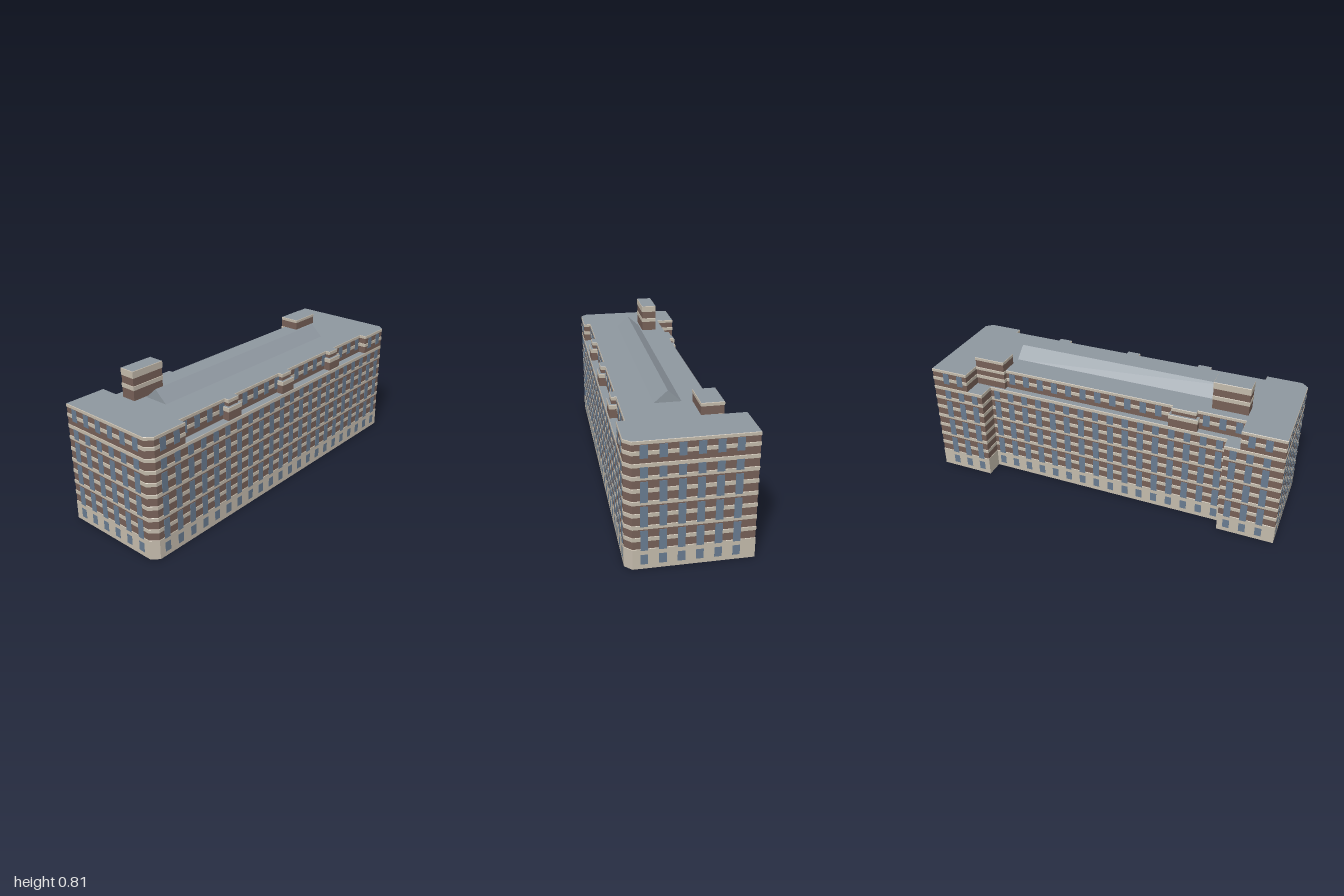
import * as THREE from 'three';
import { mergeGeometries } from 'three/addons/utils/BufferGeometryUtils.js';

const mat = (name, color, side = THREE.FrontSide) => {
  const m = new THREE.MeshStandardMaterial({ color, side });
  m.name = name;
  return m;
};

// Moves a footprint of [x, z] corners outwards by d, with mitred corners
function offset(pts, d) {
  const n = pts.length;
  const normal = (a, b) => {
    const dx = b[0] - a[0], dz = b[1] - a[1], l = Math.hypot(dx, dz);
    return [dz / l, -dx / l];
  };
  return pts.map((p, i) => {
    const a = normal(pts[(i + n - 1) % n], p), b = normal(p, pts[(i + 1) % n]);
    const k = d / (1 + a[0] * b[0] + a[1] * b[1]);
    return [p[0] + k * (a[0] + b[0]), p[1] + k * (a[1] + b[1])];
  });
}

// Sweeps a profile of [y, outward offset] round a footprint
function sweep(pts, profile) {
  const pos = [];
  const rings = profile.map(([y, d]) => offset(pts, d).map(([x, z]) => [x, y, z]));
  for (let r = 0; r < rings.length - 1; r++) {
    for (let i = 0; i < pts.length; i++) {
      const j = (i + 1) % pts.length;
      const a = rings[r][i], b = rings[r][j], c = rings[r + 1][j], d = rings[r + 1][i];
      pos.push(...a, ...d, ...b, ...b, ...d, ...c);
    }
  }
  const g = new THREE.BufferGeometry();
  g.setAttribute('position', new THREE.Float32BufferAttribute(pos, 3));
  g.computeVertexNormals();
  return g;
}

const rect = (x0, x1, z0, z1) => [[x0, z0], [x1, z0], [x1, z1], [x0, z1]];

export function createModel() {
  const model = new THREE.Group();
  model.name = 'building';
  const brick = mat('brick', 0x766057, THREE.DoubleSide);
  const stone = mat('stone', 0xc3baab, THREE.DoubleSide);
  const glass = mat('glass', 0x687b90);
  const slate = mat('slate', 0x8e979f, THREE.DoubleSide);
  const IN = -0.002; // brick sits just behind the stone bands

  const add = (parent, name, geometry, material) => {
    const m = new THREE.Mesh(geometry, material);
    m.name = name;
    parent.add(m);
  };

  // Brick walls with stone bands and a flat roof
  function block(name, pts, y0, y1, bands) {
    const g = new THREE.Group();
    g.name = name;
    model.add(g);
    add(g, 'brickWalls', sweep(pts, [[y0, IN], [y1 - 0.001, IN]]), brick);
    const rings = bands.map(([a, b]) =>
      sweep(pts, [[a, IN], [a, 0], [b - 0.002, 0], [b, IN]]));
    add(g, 'stoneBands', mergeGeometries(rings), stone);
    const shape = new THREE.Shape(offset(pts, IN).map(([x, z]) => new THREE.Vector2(x, -z)));
    add(g, 'flatRoof', new THREE.ShapeGeometry(shape).rotateX(-Math.PI / 2).translate(0, y1, 0), slate);
    return g;
  }

  // Lower floors
  const lower = [[-0.31, -1], [0.275, -1], [0.31, -0.965], [0.31, 0.965], [0.275, 1],
    [-0.275, 1], [-0.275, 0.69], [-0.21, 0.69], [-0.21, -0.69], [-0.31, -0.69]];
  const floorBands = [[0.526, 0.546]];
  for (let i = 0; i < 6; i++) floorBands.push([0.148 + i * 0.063, 0.169 + i * 0.063]);
  const low = block('lowerFloors', lower, 0, 0.546, floorBands);
  add(low, 'stoneBase', sweep(lower, [[0, 0], [0.105, 0], [0.107, IN]]), stone);

  // Top floor, set back between the two end wings
  const upper = [[-0.31, -1], [0.275, -1], [0.31, -0.965], [0.31, -0.775], [0.27, -0.775],
    [0.27, 0.77], [0.31, 0.77], [0.31, 0.965], [0.275, 1], [-0.275, 1],
    [-0.275, 0.77], [-0.175, 0.77], [-0.175, -0.78], [-0.31, -0.78]];
  block('topFloor', upper, 0.546, 0.655, [[0.586, 0.606], [0.638, 0.655]]);

  // Stepped bays in front of the set-back floor
  function bay(name, xIn, xOut, z, half) {
    const s = Math.sign(xOut);
    const tier = (out, h) => rect(Math.min(xIn, out), Math.max(xIn, out), z - h, z + h);
    block(name + 'Lower', tier(xOut, half), 0.546, 0.617, [[0.594, 0.617]]);
    block(name + 'Upper', tier(xOut - s * 0.012, half - 0.012), 0.61, 0.655, [[0.636, 0.655]]);
  }
  [-0.45, -0.01, 0.42].forEach((z, i) => bay('leftSideBay' + (i + 1), 0.266, 0.308, z, 0.05));
  bay('rightSideBay', -0.171, -0.21, 0.45, 0.08);

  // Rooftop structures
  block('tallPenthouse', rect(-0.126, -0.039, 0.575, 0.77), 0.65, 0.81, [[0.709, 0.732], [0.773, 0.81]]);
  block('lowPenthouse', rect(-0.2, -0.085, -0.78, -0.6), 0.546, 0.715, [[0.586, 0.606], [0.638, 0.655], [0.698, 0.715]]);

  // Ridged skylight
  const gable = new THREE.Shape([[-0.035, 0.654], [0.104, 0.654], [0.034, 0.716]]
    .map(([x, y]) => new THREE.Vector2(x, y)));
  add(model, 'ridgeSkylight',
    new THREE.ExtrudeGeometry(gable, { depth: 1.295, bevelEnabled: false }).translate(0, 0, -0.6), slate);

  // Windows: thin plates, almost flush with the bands
  const lowRows = [[0.024, 0.076], [0.098, 0.204], [0.224, 0.33], [0.35, 0.455], [0.474, 0.528]];
  const topRow = [0.57, 0.635];
  const plates = { front: [], back: [], left: [], right: [] };
  const T = 0.002, W = 0.036, OUT = -0.0003;
  const alongX = (side, x, z, [a, b]) => plates[side].push(
    new THREE.BoxGeometry(W, b - a, T).translate(x, (a + b) / 2, z + Math.sign(z) * OUT));
  const alongZ = (side, x, z, [a, b]) => plates[side].push(
    new THREE.BoxGeometry(T, b - a, W).translate(x + Math.sign(x) * OUT, (a + b) / 2, z));

  for (let i = 0; i < 6; i++) {
    const x = 0.001 + (i - 2.5) * 0.0874;
    for (const row of [...lowRows, topRow]) {
      alongX('front', x, 1, row);
      alongX('back', x, -1, row);
    }
  }
  for (let i = 0; i < 22; i++) {
    const z = (i - 10.5) * 0.087;
    const wing = z > 0 ? -0.275 : -0.31;
    for (const row of lowRows) {
      alongZ('left', 0.31, z, row);
      alongZ('right', Math.abs(z) > 0.69 ? wing : -0.21, z, row);
    }
    const inWing = Math.abs(z) > 0.78;
    alongZ('left', inWing ? 0.31 : 0.27, z, topRow);
    alongZ('right', inWing ? wing : -0.175, z, topRow);
  }
  for (const key in plates) add(model, key + 'Windows', mergeGeometries(plates[key]), glass);

  return model;
}
